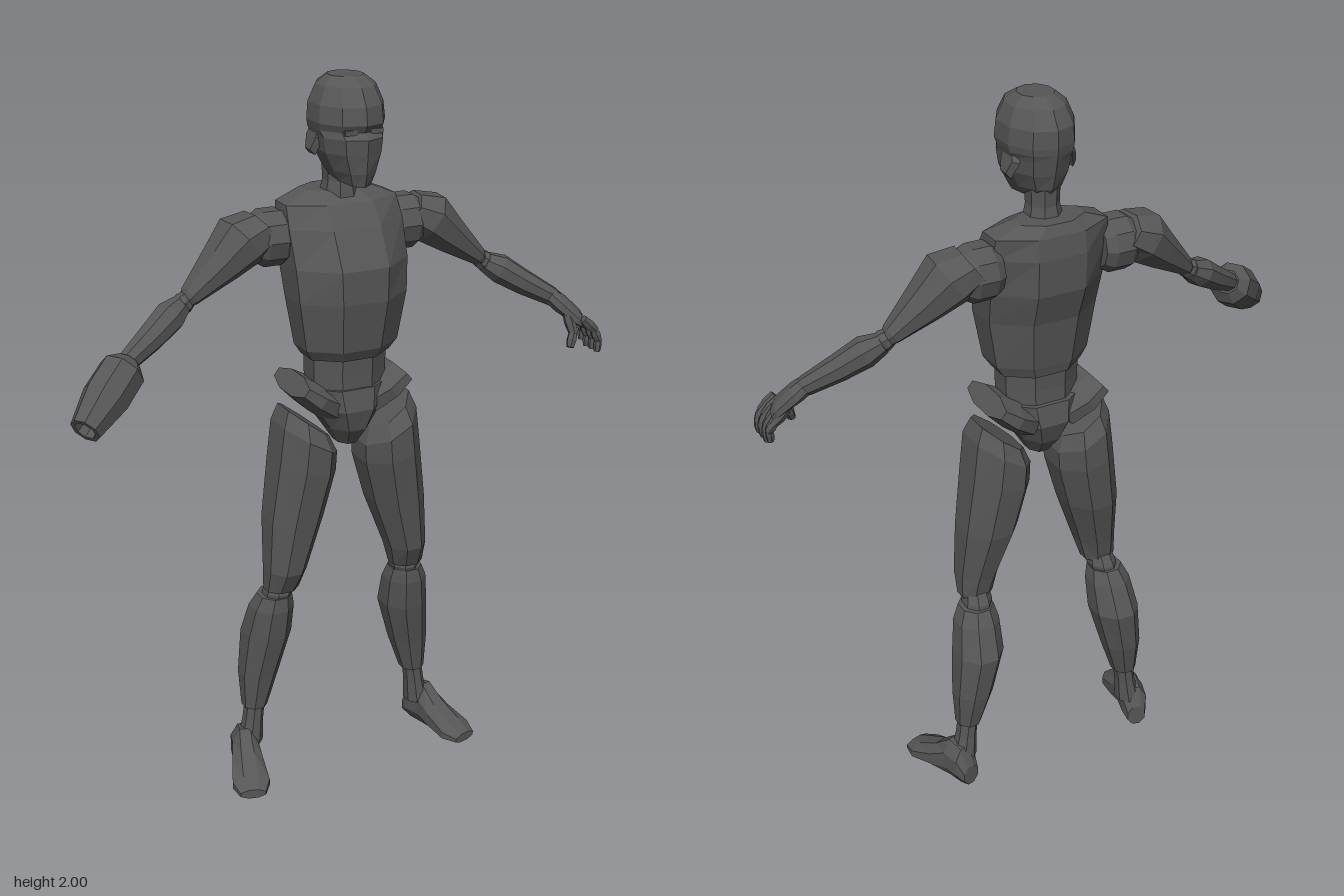
import * as THREE from 'three';

const V = (x, y, z) => new THREE.Vector3(x, y, z);

// Skin a list of vertex rings with flat facets and closed ends; optionally mirrored in x
function skin(rings, mirror) {
  const n = rings[0].length, pos = [];
  const s = mirror ? -1 : 1;
  const tri = (a, b, c) => {
    for (const p of mirror ? [a, c, b] : [a, b, c]) pos.push(p.x * s, p.y, p.z);
  };
  const middle = (r) => r.reduce((m, p) => m.add(p), V(0, 0, 0)).divideScalar(n);
  for (let k = 0; k < rings.length - 1; k++) {
    for (let i = 0; i < n; i++) {
      const j = (i + 1) % n, a = rings[k], b = rings[k + 1];
      tri(a[i], a[j], b[j]);
      tri(a[i], b[j], b[i]);
    }
  }
  const first = rings[0], last = rings[rings.length - 1];
  const m0 = middle(first), m1 = middle(last);
  for (let i = 0; i < n; i++) {
    const j = (i + 1) % n;
    tri(m0, first[j], first[i]);
    tri(m1, last[i], last[j]);
  }
  const g = new THREE.BufferGeometry();
  g.setAttribute('position', new THREE.Float32BufferAttribute(pos, 3));
  g.computeVertexNormals();
  return g;
}

// Polygon whose flat sides touch -1 and 1
function polygon(n) {
  return Array.from({ length: n }, (_, i) => {
    const a = ((i + 0.5) / n) * Math.PI * 2, k = Math.cos(Math.PI / n);
    return [Math.cos(a) / k, Math.sin(a) / k];
  });
}

// Stack of level sections from top to bottom: [y, centreX, halfX, frontZ, backZ, tiltX, tiltZ]
function column(sections, n = 8, mirror = false) {
  return skin(sections.map(([y, cx, hx, zf, zb, tx = 0, tz = 0]) =>
    polygon(n).map(([c, s]) =>
      V(cx + hx * c, y + tx * c + tz * s, (zf + zb) / 2 + ((zf - zb) / 2) * s))), mirror);
}

// Sections across the line a to b: [distance, top, bottom, halfWidth]
function limb(a, b, sections, n = 8, mirror = false) {
  const t = b.clone().sub(a).normalize();
  const ref = Math.abs(t.y) > 0.95 ? V(1, 0, 0) : V(0, 1, 0);
  const u = ref.addScaledVector(t, -ref.dot(t)).normalize();
  const v = t.clone().cross(u);
  return skin(sections.map(([d, top, bottom, w]) =>
    polygon(n).map(([c, s]) => a.clone().addScaledVector(t, d)
      .addScaledVector(u, (top + bottom) / 2 + ((top - bottom) / 2) * c)
      .addScaledVector(v, w * s))), mirror);
}

const round = (d, r) => [d, r, -r, r];

export function createModel() {
  const model = new THREE.Group();
  model.name = 'jointedFigure';
  const body = new THREE.Group();
  body.name = 'body';
  body.position.x = 0.035;
  model.add(body);

  const darkGrey = new THREE.MeshStandardMaterial({ color: 0x565656 });
  darkGrey.name = 'darkGrey';
  const add = (name, geometry) => {
    const mesh = new THREE.Mesh(geometry, darkGrey);
    mesh.name = name;
    body.add(mesh);
    return mesh;
  };

  // Head with brow ridge, recessed eye line and narrow jaw
  add('head', column([
    [1.998, 0, 0.045, 0.03, -0.07],
    [1.975, 0, 0.072, 0.07, -0.105],
    [1.93, 0, 0.09, 0.095, -0.13],
    [1.885, 0, 0.094, 0.1, -0.131],
    [1.867, 0, 0.09, 0.09, -0.129],
    [1.85, 0, 0.085, 0.109, -0.125],
    [1.81, 0, 0.079, 0.105, -0.116],
    [1.765, 0, 0.058, 0.1, -0.104, 0, -0.004],
    [1.738, 0, 0.042, 0.09, -0.09, 0, -0.012],
  ], 10));
  add('neck', column([
    [1.78, 0, 0.042, -0.01, -0.1],
    [1.72, 0, 0.04, -0.012, -0.098],
    [1.67, 0, 0.05, -0.005, -0.11],
  ]));

  // Chest, waist and pelvis
  add('chest', column([
    [1.695, 0, 0.09, -0.03, -0.145],
    [1.667, 0, 0.16, 0.012, -0.158],
    [1.61, 0, 0.165, 0.055, -0.165],
    [1.51, 0, 0.163, 0.105, -0.16],
    [1.42, 0, 0.157, 0.106, -0.13],
    [1.285, 0, 0.135, 0.085, -0.112],
    [1.255, 0, 0.115, 0.068, -0.105],
  ]));
  add('waist', column([
    [1.265, 0, 0.108, 0.06, -0.1],
    [1.21, 0, 0.107, 0.058, -0.098],
    [1.15, 0, 0.105, 0.058, -0.1],
  ]));
  add('pelvis', column([
    [1.17, 0, 0.118, 0.064, -0.112],
    [1.11, 0, 0.1, 0.075, -0.122],
    [1.05, 0, 0.06, 0.06, -0.1],
    [1.0, 0, 0.03, 0.025, -0.06],
  ]));

  for (const [side, m] of [['left', false], ['right', true]]) {
    // Face details
    const eye = add(side + 'Eye', new THREE.BoxGeometry(0.036, 0.013, 0.008));
    eye.position.set(m ? -0.036 : 0.036, 1.868, 0.087);
    add(side + 'EarPlate', limb(V(0.074, 1.84, -0.035), V(0.09, 1.845, -0.035),
      [[0, 0.045, -0.045, 0.035], [0.016, 0.035, -0.035, 0.025]], 6, m));

    // Hip strap rising outward
    add(side + 'Hip', limb(V(0.05, 1.105, -0.03), V(0.152, 1.185, -0.03),
      [[0, 0.05, -0.04, 0.085], [0.07, 0.038, -0.04, 0.105], [0.13, 0.028, -0.032, 0.098]], 8, m));

    // Leg
    add(side + 'Thigh', column([
      [1.075, 0.122, 0.06, 0.06, -0.11, 0.045],
      [1.03, 0.122, 0.078, 0.088, -0.132, 0.045],
      [0.95, 0.13, 0.083, 0.086, -0.132, 0.02],
      [0.8, 0.158, 0.077, 0.068, -0.115],
      [0.65, 0.188, 0.055, 0.052, -0.077],
      [0.585, 0.197, 0.046, 0.02, -0.063],
    ], 8, m));
    add(side + 'Knee', column([
      [0.61, 0.197, 0.03, -0.005, -0.06],
      [0.57, 0.2, 0.038, 0.006, -0.085],
      [0.52, 0.21, 0.034, -0.01, -0.09],
    ], 8, m));
    add(side + 'Calf', column([
      [0.56, 0.207, 0.045, 0.005, -0.095],
      [0.52, 0.212, 0.058, 0.008, -0.12],
      [0.43, 0.22, 0.065, -0.003, -0.155],
      [0.3, 0.243, 0.053, -0.03, -0.143],
      [0.195, 0.258, 0.034, -0.047, -0.12],
    ], 8, m));
    add(side + 'Ankle', column([
      [0.22, 0.256, 0.026, -0.052, -0.112],
      [0.15, 0.265, 0.027, -0.05, -0.113],
      [0.08, 0.275, 0.034, -0.045, -0.12],
    ], 8, m));
    add(side + 'Foot', limb(V(0.278, 0, -0.135), V(0.345, 0, 0.1), [
      [0, 0.065, 0.004, 0.026],
      [0.025, 0.12, 0, 0.036],
      [0.075, 0.13, 0, 0.037],
      [0.13, 0.085, 0, 0.045],
      [0.2, 0.048, 0, 0.053],
      [0.242, 0.03, 0.004, 0.036],
    ], 8, m));

    // Arm
    add(side + 'Shoulder', limb(V(0.145, 1.58, -0.075), V(0.25, 1.58, -0.075),
      [round(0, 0.058), round(0.025, 0.073), round(0.075, 0.073), round(0.105, 0.055)], 10, m));
    add(side + 'UpperArm', limb(V(0.235, 1.59, -0.077), V(0.445, 1.44, -0.055), [
      [-0.025, 0.055, -0.045, 0.07],
      [0.04, 0.085, -0.052, 0.08],
      [0.115, 0.062, -0.042, 0.064],
      [0.235, 0.028, -0.022, 0.035],
      [0.25, 0.02, -0.018, 0.026],
    ], 8, m));
    add(side + 'Elbow', limb(V(0.43, 1.45, -0.057), V(0.465, 1.43, -0.05),
      [round(0, 0.022), round(0.02, 0.027), round(0.04, 0.022)], 8, m));
    add(side + 'Forearm', limb(V(0.45, 1.437, -0.056), V(0.64, 1.325, 0.02), [
      round(0, 0.026),
      [0.05, 0.04, -0.036, 0.042],
      [0.13, 0.032, -0.034, 0.036],
      round(0.225, 0.025),
      round(0.24, 0.02),
    ], 8, m));
  }

  // Right arm ends in a hollow barrel
  add('armBarrel', limb(V(0.628, 1.33, 0.018), V(0.792, 1.205, 0.132), [
    round(0, 0.032), round(0.03, 0.056), round(0.12, 0.057), round(0.225, 0.038),
    round(0.225, 0.027), round(0.19, 0.024),
  ], 8, true));

  // Left hand with curled fingers
  add('palm', limb(V(0.625, 1.335, 0.017), V(0.705, 1.26, 0.058), [
    [0, 0.022, -0.022, 0.024],
    [0.04, 0.024, -0.022, 0.042],
    [0.1, 0.02, -0.016, 0.052],
    [0.116, 0.014, -0.012, 0.048],
  ]));
  const digit = (name, points, r) => {
    for (let i = 0; i < points.length - 1; i++) {
      const length = points[i].distanceTo(points[i + 1]);
      add(name, limb(points[i], points[i + 1],
        [round(-0.004, r * 0.8), round(length * 0.5, r), round(length + 0.004, r * 0.75)], 6));
      r *= 0.85;
    }
  };
  for (let i = 0; i < 4; i++) {
    const z = 0.018 + i * 0.027;
    const reach = i === 0 ? 0.012 : 0;
    digit('finger', [V(0.69, 1.275, z), V(0.724, 1.243, z + 0.003),
      V(0.736, 1.212 + reach, z + 0.007), V(0.733, 1.183 + reach, z + 0.01)], 0.014);
  }
  digit('thumb', [V(0.655, 1.295, 0.065), V(0.662, 1.24, 0.09), V(0.648, 1.205, 0.1)], 0.015);

  return model;
}
